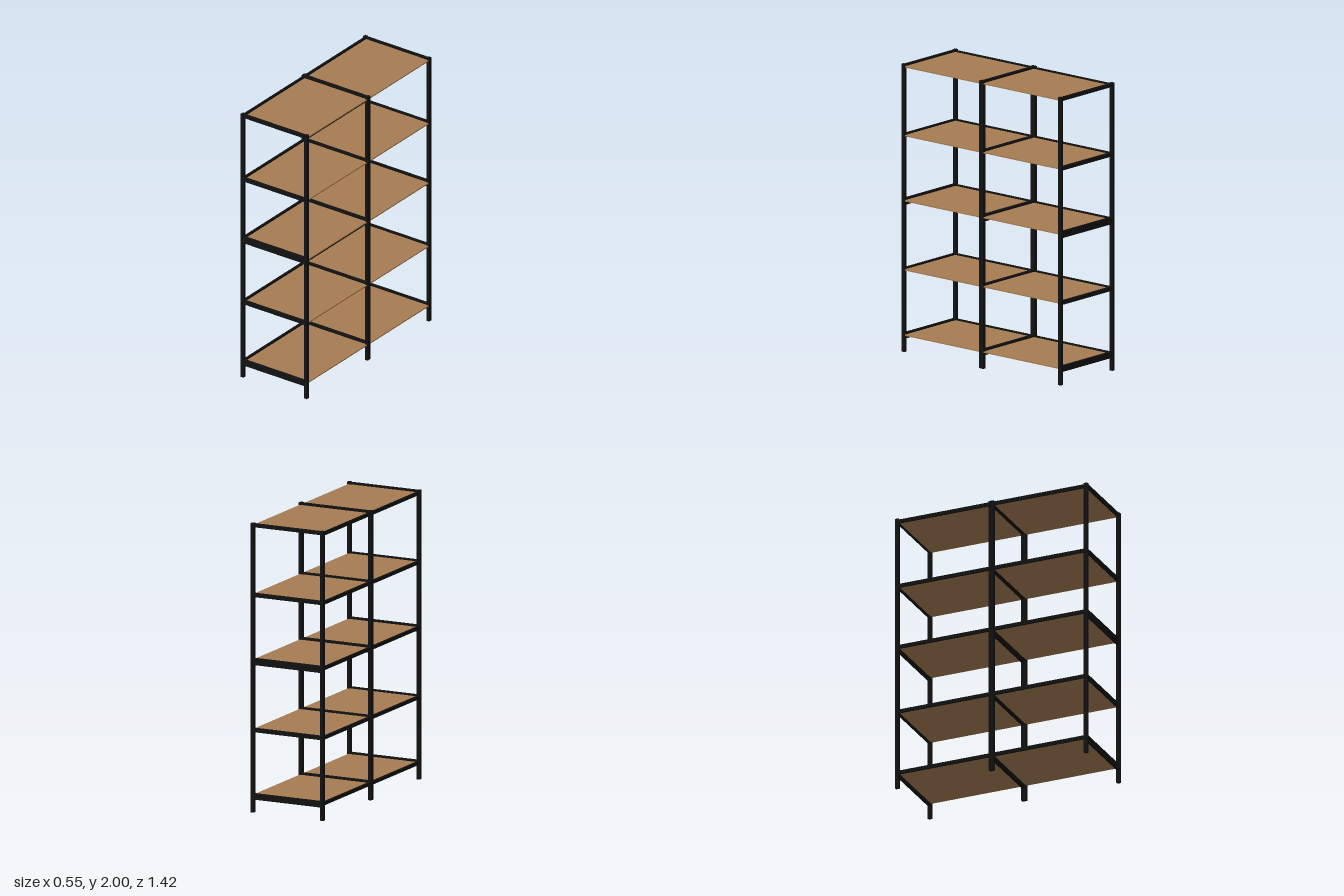
import * as THREE from 'three';

export function createModel() {
  const model = new THREE.Group();
  model.name = 'shelvingUnit';
  const metal = new THREE.MeshStandardMaterial({ color: 0x111111 });
  metal.name = 'black metal';
  const wood = new THREE.MeshStandardMaterial({ color: 0xa67c52 });
  wood.name = 'brown wood';

  // Box given by its lower and upper limits on each axis
  function box(name, material, [x0, x1], [y0, y1], [z0, z1]) {
    const mesh = new THREE.Mesh(new THREE.BoxGeometry(x1 - x0, y1 - y0, z1 - z0), material);
    mesh.position.set((x0 + x1) / 2, (y0 + y1) / 2, (z0 + z1) / 2);
    mesh.name = name;
    model.add(mesh);
  }

  // Shelf levels: board height, and span of the short side rails
  const levels = [
    { y: 0.115, rail: [0.09, 0.132] },
    { y: 0.569, rail: [0.556, 0.584] },
    { y: 1.049, rail: [1.02, 1.067] },
    { y: 1.502, rail: [1.49, 1.517] },
    { y: 1.98, rail: [1.973, 1.998] },
  ];

  // Three ladder frames, each with two posts and a rail per level
  const frames = [
    { z: -0.697, post: 0.013, rail: 0.009 },
    { z: 0, post: 0.018, rail: 0.013 },
    { z: 0.697, post: 0.013, rail: 0.009 },
  ];
  for (const { z, post, rail } of frames) {
    for (const x of [-0.266, 0.264]) {
      box('post', metal, [x - 0.011, x + 0.011], [0, 2], [z - post, z + post]);
    }
    for (const level of levels) {
      box('sideRail', metal, [-0.26, 0.258], level.rail, [z - rail, z + rail]);
    }
  }

  // Two bays: a board and a long rail at every level
  for (const side of [-1, 1]) {
    const span = side < 0 ? [-0.69, -0.004] : [0.004, 0.69];
    for (const { y } of levels) {
      box('shelfBoard', wood, [-0.253, 0.269], [y - 0.004, y + 0.004], span);
      box('longRail', metal, [-0.274, -0.26], [y - 0.012, y + 0.012], span);
    }
  }
  return model;
}
